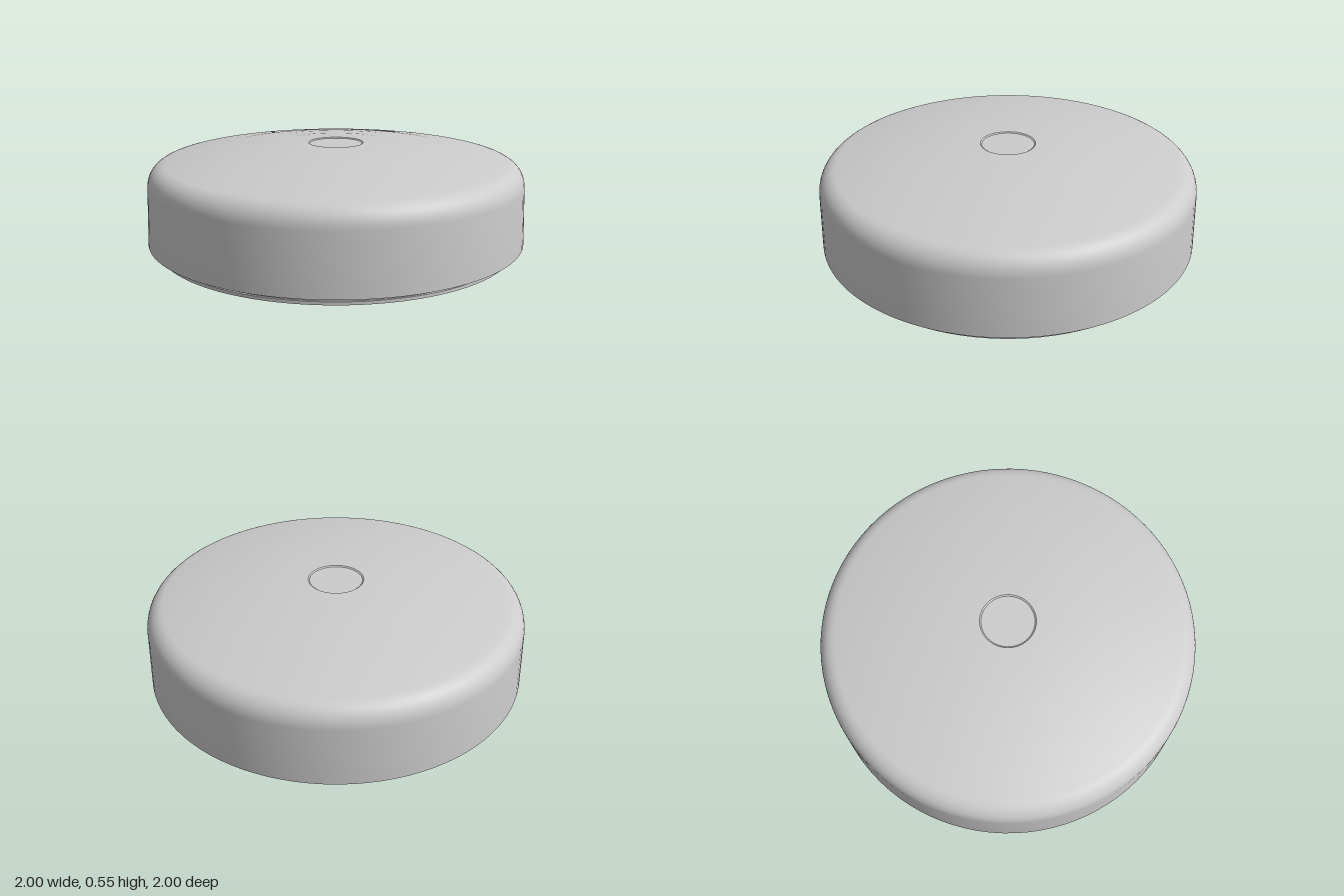
import * as THREE from 'three';
import { toCreasedNormals } from 'three/addons/utils/BufferGeometryUtils.js';

const SEGMENTS = 96;

// Revolves a profile of [radius, height] pairs, keeping sharp edges sharp
function revolve(name, profile, material) {
  const points = profile.map(([r, y]) => new THREE.Vector2(r, y));
  const geometry = toCreasedNormals(new THREE.LatheGeometry(points, SEGMENTS), 0.5);
  const mesh = new THREE.Mesh(geometry, material);
  mesh.name = name;
  return mesh;
}

export function createModel() {
  const group = new THREE.Group();
  group.name = 'lid';
  const material = new THREE.MeshStandardMaterial({ color: 0xcccccc });

  // Rounded shoulder between side wall and shallow dome
  const shoulder = new THREE.CubicBezierCurve(
    new THREE.Vector2(0.99, 0.35), new THREE.Vector2(0.988, 0.405),
    new THREE.Vector2(0.955, 0.45), new THREE.Vector2(0.9, 0.461)
  ).getPoints(9).map((p) => [p.x, p.y]);

  group.add(
    // Underside ledge, slightly tapered side wall, shoulder and dome
    revolve('outerShell', [
      [0.937, 0.045], [1, 0.045], [0.99, 0.35],
      ...shoulder.slice(1),
      [0.64, 0.503], [0.48, 0.523], [0.3, 0.541], [0.145, 0.545],
    ], material),

    // Shallow round recess in the middle of the top
    revolve('centreRecess', [[0.145, 0.545], [0.138, 0.54], [0, 0.54]], material),

    // Neck and thin bead projecting below the side wall
    revolve('sealingLip', [
      [0.935, 0], [0.948, 0], [0.948, 0.016], [0.937, 0.016], [0.937, 0.045],
    ], material),

    // Flat ceiling and hollow interior wall
    revolve('interior', [
      [0, 0.33], [0.93, 0.33], [0.925, 0.07], [0.935, 0],
    ], material)
  );
  return group;
}
